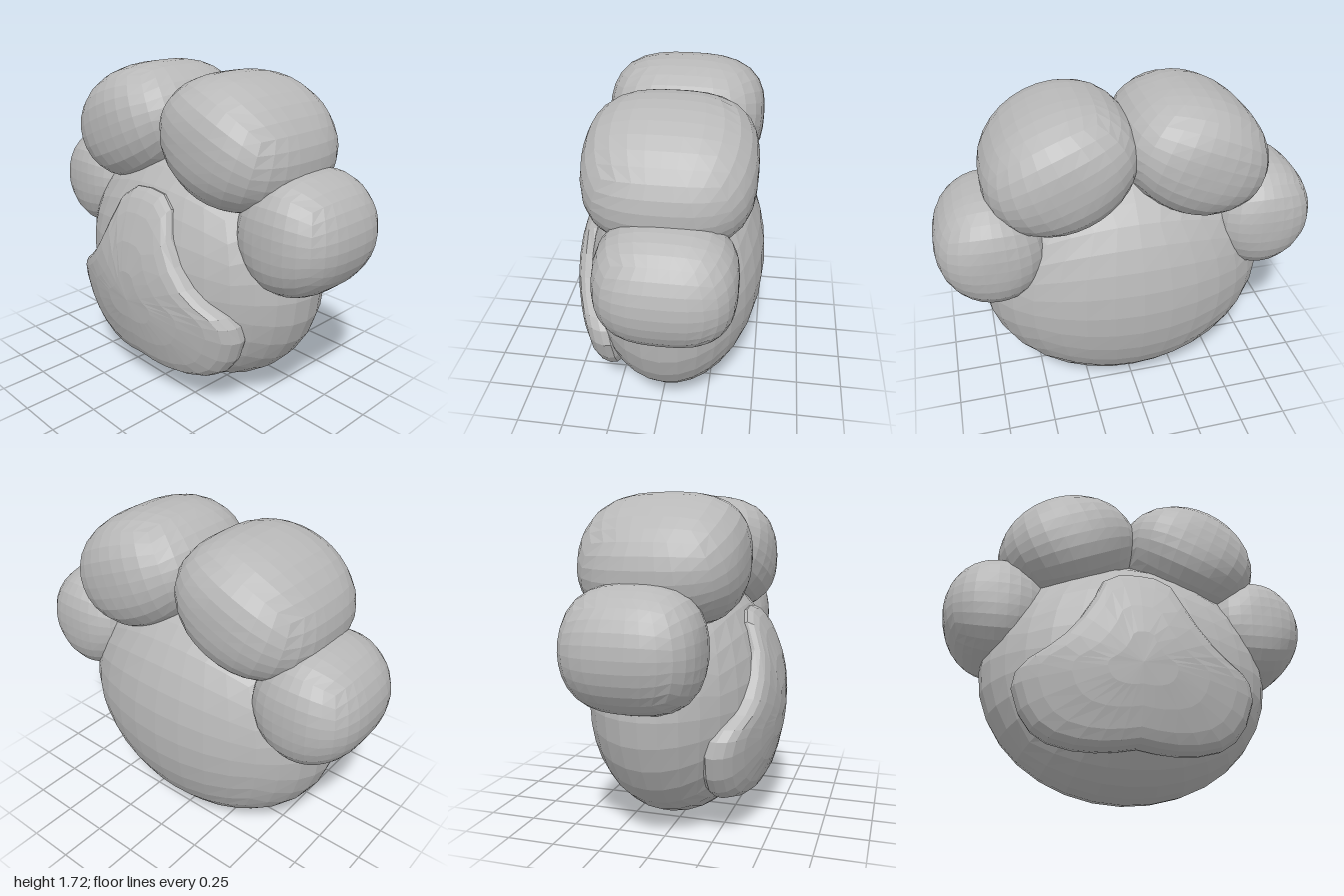
import * as THREE from 'three';

const grey = new THREE.MeshStandardMaterial({ color: 0xb8b8b8, flatShading: true });
grey.name = 'grey';

// Cube grid blown up to a ball; power above 2 makes its front and back boxier.
function puff(name, radii, position, power = 2, tilt = 0) {
  const geometry = new THREE.BoxGeometry(2, 2, 2, 8, 8, 8);
  const p = geometry.attributes.position;
  const v = new THREE.Vector3();
  const even = (t) => Math.tan((t * Math.PI) / 4);
  for (let i = 0; i < p.count; i++) {
    v.set(even(p.getX(i)), even(p.getY(i)), even(p.getZ(i))).normalize();
    const across = Math.hypot(v.x, v.y);
    v.divideScalar(Math.pow(across ** power + Math.abs(v.z) ** power, 1 / power));
    p.setXYZ(i, v.x * radii[0], v.y * radii[1], v.z * radii[2]);
  }
  geometry.computeVertexNormals();
  const mesh = new THREE.Mesh(geometry, grey);
  mesh.name = name;
  mesh.position.set(...position);
  mesh.rotation.z = tilt;
  return mesh;
}

// Raised pad: rings of one outline, domed over the palm with a rounded rim.
function makePad() {
  const half = [
    [0, 0.195], [0.1, 0.18], [0.2, 0.175], [0.31, 0.185], [0.43, 0.22], [0.51, 0.275],
    [0.57, 0.36], [0.61, 0.48], [0.595, 0.56], [0.55, 0.61], [0.46, 0.665], [0.38, 0.73],
    [0.3, 0.83], [0.23, 0.95], [0.18, 1.08], [0.1, 1.135], [0, 1.145],
  ];
  const outline = [...half, ...half.slice(1, -1).reverse().map(([x, y]) => [-x, y])];
  const dome = (x, y) => 0.51 - 0.4 * x * x - (y > 0.65 ? 0.6 : 0.45) * (y - 0.65) ** 2;
  // Ring scale and depth below the dome, from the back of the rim to the middle
  const rings = [[0.93, 0.16], [0.99, 0.11], [1, 0.07], [0.975, 0.03], [0.92, 0.008], [0.8, 0], [0.55, 0], [0.28, 0]];
  const n = outline.length;
  const cy = 0.57;
  const vertices = [];
  const index = [];
  for (const [s, drop] of rings) {
    for (const [ox, oy] of outline) {
      const x = ox * s;
      const y = cy + (oy - cy) * s;
      const fade = oy > 0.9 ? 0.6 : 1;
      vertices.push(x, y, dome(x, y) - drop * fade);
    }
  }
  const front = vertices.length / 3;
  vertices.push(0, cy, dome(0, cy), 0, cy, 0.2);
  for (let j = 0; j < n; j++) {
    const k = (j + 1) % n;
    for (let r = 0; r < rings.length - 1; r++) {
      const a = r * n + j, b = r * n + k;
      index.push(a, b, b + n, a, b + n, a + n);
    }
    const last = (rings.length - 1) * n;
    index.push(last + j, last + k, front, k, j, front + 1);
  }
  const geometry = new THREE.BufferGeometry();
  geometry.setAttribute('position', new THREE.Float32BufferAttribute(vertices, 3));
  geometry.setIndex(index);
  geometry.computeVertexNormals();
  const mesh = new THREE.Mesh(geometry, grey);
  mesh.name = 'palmPad';
  return mesh;
}

export function createModel() {
  const paw = new THREE.Group();
  paw.name = 'paw';
  paw.add(puff('palm', [0.78, 0.67, 0.475], [0, 0.68, -0.035]));
  paw.add(makePad());
  // Two toes on each side
  for (const [side, s] of [['left', 1], ['right', -1]]) {
    paw.add(puff(side + 'InnerToe', [0.405, 0.315, 0.415], [s * 0.34, 1.4, -0.035], 2.8, s * -0.4));
    paw.add(puff(side + 'OuterToe', [0.29, 0.304, 0.335], [s * 0.71, 1.007, -0.065], 2.8));
  }
  return paw;
}
